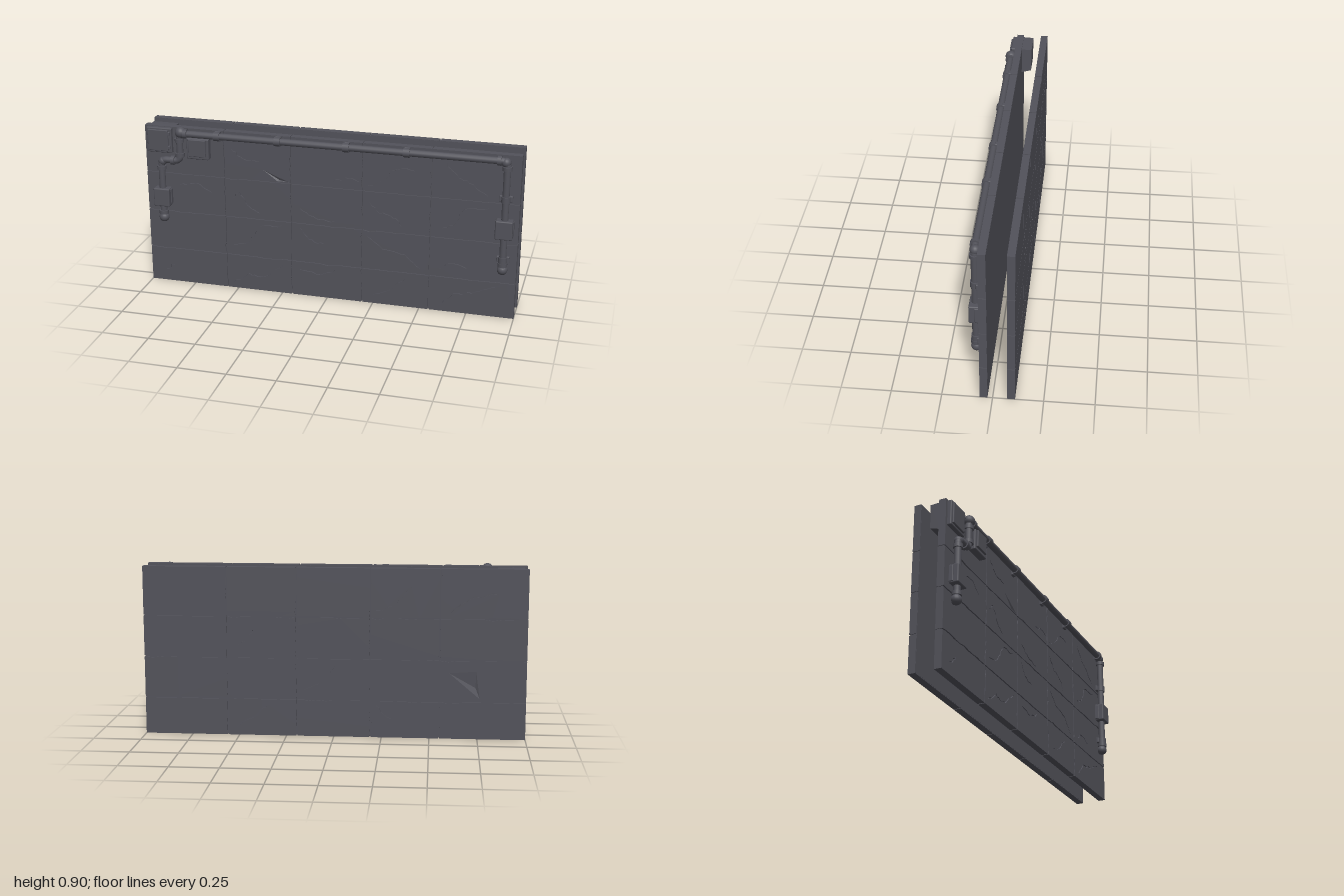
import * as THREE from 'three';
import { RoundedBoxGeometry } from 'three/addons/geometries/RoundedBoxGeometry.js';

const concrete = new THREE.MeshStandardMaterial({ color: 0x52525a });
concrete.name = 'dark grey concrete and metal';

// small seeded generator for chipped edges and cracks
function seeded(seed) {
  return () => {
    seed = (seed * 16807) % 2147483647;
    return seed / 2147483647;
  };
}

function add(parent, name, geometry, x = 0, y = 0, z = 0) {
  const mesh = new THREE.Mesh(geometry, concrete);
  mesh.name = name;
  mesh.position.set(x, y, z);
  parent.add(mesh);
  return mesh;
}

const H = 0.893, SKIN = 0.007;
const COLS = [-1, -0.56, -0.195, 0.19, 0.55, 1];
const ROWS = [0, 0.197, 0.417, 0.635, H];

// straight on the outer rim, slightly chipped along the joints
function tileOutline(x0, x1, y0, y1, rnd) {
  const corners = [[x0, y0], [x1, y0], [x1, y1], [x0, y1]];
  const rim = [y0 === 0, x1 === 1, y1 === H, x0 === -1];
  const inward = [[0, 1], [-1, 0], [0, -1], [1, 0]];
  const points = [];
  corners.forEach((a, i) => {
    const b = corners[(i + 1) % 4];
    const prev = (i + 3) % 4;
    const gap = (k) => (rim[k] ? 0 : 0.003);
    points.push(new THREE.Vector2(
      a[0] + inward[i][0] * gap(i) + inward[prev][0] * gap(prev),
      a[1] + inward[i][1] * gap(i) + inward[prev][1] * gap(prev)));
    if (rim[i]) return;
    for (let k = 1; k < 10; k++) {
      const d = 0.002 + (rnd() > 0.8 ? 0.008 : 0.002) * rnd();
      points.push(new THREE.Vector2(
        a[0] + (b[0] - a[0]) * k / 10 + inward[i][0] * d,
        a[1] + (b[1] - a[1]) * k / 10 + inward[i][1] * d));
    }
  });
  return points;
}

// a thin jagged sliver following a few points
function crackHole(line, rnd) {
  const upper = [], lower = [];
  const steps = (line.length - 1) * 5;
  for (let i = 0; i <= steps; i++) {
    const s = Math.min(Math.floor(i / 5), line.length - 2), t = i / 5 - s;
    const [ax, ay] = line[s], [bx, by] = line[s + 1];
    const len = Math.hypot(bx - ax, by - ay);
    const nx = -(by - ay) / len, ny = (bx - ax) / len;
    const x = ax + (bx - ax) * t, y = ay + (by - ay) * t;
    const j = (rnd() - 0.5) * 0.012;
    const w = i === 0 || i === steps ? 0.0006 : 0.0015 + rnd() * 0.002;
    upper.push(new THREE.Vector2(x + nx * (j + w), y + ny * (j + w)));
    lower.push(new THREE.Vector2(x + nx * (j - w), y + ny * (j - w)));
  }
  return new THREE.Path([...upper, ...lower.reverse()]);
}

// slab facing +z, from z = 0 to z = depth
function makeSlab(name, depth, cracks, dent, seed) {
  const slab = new THREE.Group();
  slab.name = name;
  const rnd = seeded(seed);
  const coreDepth = depth - SKIN + 0.0005;
  add(slab, 'slabCore', new THREE.BoxGeometry(1.992, H - 0.008, coreDepth), 0, H / 2, coreDepth / 2 - 0.0005);
  for (let c = 0; c < 5; c++) for (let r = 0; r < 4; r++) {
    const [x0, x1, y0, y1] = [COLS[c], COLS[c + 1], ROWS[r], ROWS[r + 1]];
    const inside = ([x, y]) => x > x0 && x < x1 && y > y0 && y < y1;
    const shape = new THREE.Shape(tileOutline(x0, x1, y0, y1, rnd));
    cracks.filter((l) => inside(l[0])).forEach((l) => shape.holes.push(crackHole(l, rnd)));
    if (inside(dent[0])) shape.holes.push(new THREE.Path(dent.map((p) => new THREE.Vector2(...p))));
    add(slab, 'wallTile', new THREE.ExtrudeGeometry(shape, { depth, bevelEnabled: false }));
  }
  // broken-out hollow: three sloping faces meeting at a low point
  const low = [dent[0][0] * 0.6 + dent[1][0] * 0.3 + dent[2][0] * 0.1,
    dent[0][1] * 0.6 + dent[1][1] * 0.3 + dent[2][1] * 0.1, depth - SKIN + 0.0005];
  const verts = [];
  for (let i = 0; i < 3; i++) verts.push(...dent[i], depth, ...dent[(i + 1) % 3], depth, ...low);
  const hollow = new THREE.BufferGeometry();
  hollow.setAttribute('position', new THREE.Float32BufferAttribute(verts, 3));
  hollow.computeVertexNormals();
  add(slab, 'brokenHollow', hollow);
  return slab;
}

// tube along straight runs with rounded bends
function pipe(parent, name, points, radius, bend) {
  const p = points.map((a) => new THREE.Vector3(...a));
  const path = new THREE.CurvePath();
  let from = p[0];
  for (let i = 1; i < p.length - 1; i++) {
    const a = p[i].clone().add(p[i - 1].clone().sub(p[i]).setLength(bend));
    const b = p[i].clone().add(p[i + 1].clone().sub(p[i]).setLength(bend));
    path.add(new THREE.LineCurve3(from, a));
    path.add(new THREE.QuadraticBezierCurve3(a, p[i], b));
    from = b;
  }
  path.add(new THREE.LineCurve3(from, p[p.length - 1]));
  add(parent, name, new THREE.TubeGeometry(path, 260, radius, 14));
}

const PZ = 0.083;
function collar(parent, x, y, axis, radius = 0.025, length = 0.02) {
  const ring = add(parent, 'pipeCollar', new THREE.CylinderGeometry(radius, radius, length, 18), x, y, PZ);
  if (axis === 'x') ring.rotation.z = Math.PI / 2;
  if (axis === 'z') ring.rotation.x = Math.PI / 2;
}

function box(parent, name, x0, x1, y0, y1, z0, z1, r = 0.006) {
  add(parent, name, new RoundedBoxGeometry(x1 - x0, y1 - y0, z1 - z0, 2, r),
    (x0 + x1) / 2, (y0 + y1) / 2, (z0 + z1) / 2);
}

export function createModel() {
  const model = new THREE.Group();
  model.name = 'concreteWallWithPipes';

  // the two slabs
  const frontCracks = [
    [[0.03, 0.67], [0.1, 0.7], [0.17, 0.68]], [[0.22, 0.66], [0.33, 0.73], [0.36, 0.77], [0.46, 0.77]],
    [[0.62, 0.82], [0.68, 0.76], [0.74, 0.73], [0.84, 0.67]], [[-0.52, 0.8], [-0.46, 0.75], [-0.36, 0.74]],
    [[-0.53, 0.52], [-0.48, 0.56], [-0.44, 0.49], [-0.37, 0.45]], [[0.22, 0.58], [0.28, 0.52], [0.37, 0.5], [0.4, 0.45]],
    [[0.6, 0.46], [0.68, 0.5], [0.72, 0.59], [0.85, 0.6]], [[-0.15, 0.5], [-0.06, 0.45], [0.04, 0.44]],
    [[-0.52, 0.25], [-0.42, 0.29], [-0.37, 0.38], [-0.25, 0.39]], [[0.22, 0.38], [0.3, 0.32], [0.42, 0.3], [0.5, 0.23]],
    [[0.6, 0.24], [0.66, 0.28], [0.76, 0.26]], [[-0.15, 0.39], [-0.1, 0.33], [-0.02, 0.31]],
    [[-0.53, 0.03], [-0.44, 0.09], [-0.36, 0.08], [-0.24, 0.16]], [[-0.15, 0.15], [-0.04, 0.13], [0.05, 0.17]],
    [[0.25, 0.05], [0.34, 0.09], [0.42, 0.16]], [[0.6, 0.03], [0.68, 0.1], [0.8, 0.13], [0.9, 0.17]],
    [[-0.92, 0.06], [-0.86, 0.11]], [[-0.82, 0.57], [-0.72, 0.59], [-0.64, 0.54]]];
  const backCracks = [
    [[-0.53, 0.47], [-0.45, 0.52], [-0.4, 0.6]], [[-0.16, 0.25], [-0.06, 0.3], [0.02, 0.39]],
    [[0.22, 0.67], [0.32, 0.71], [0.4, 0.8]], [[-0.52, 0.04], [-0.42, 0.1], [-0.35, 0.17]],
    [[0.22, 0.17], [0.3, 0.1]], [[0.6, 0.67], [0.7, 0.74], [0.85, 0.77]]];
  const front = makeSlab('frontSlab', 0.038, frontCracks, [[-0.27, 0.642], [-0.21, 0.642], [-0.35, 0.7]], 11);
  front.position.z = 0.025;
  const back = makeSlab('backSlab', 0.038, backCracks, [[0.76, 0.215], [0.74, 0.36], [0.6, 0.35]], 29);
  back.rotation.y = Math.PI;
  back.position.z = -0.072;
  model.add(front, back);

  // one long pipe: wall, left drop, top run, right drop, wall
  const pipes = new THREE.Group();
  pipes.name = 'pipework';
  model.add(pipes);
  pipe(pipes, 'mainPipe', [
    [-0.907, 0.38, 0.05], [-0.907, 0.38, PZ], [-0.907, 0.715, PZ], [-0.8, 0.715, PZ],
    [-0.8, 0.868, PZ], [0.93, 0.868, PZ], [0.93, 0.275, PZ], [0.93, 0.275, 0.05]], 0.018, 0.03);
  [-0.59, -0.26, 0.105, 0.42].forEach((x) => {
    collar(pipes, x, 0.868, 'x', 0.024, 0.032);
    box(pipes, 'pipeClamp', x - 0.016, x + 0.016, 0.838, 0.892, 0.06, 0.076, 0.004);
  });
  [[-0.765, 0.868, 'x'], [0.89, 0.868, 'x'], [-0.8, 0.83, 'y'], [-0.8, 0.75, 'y'], [-0.84, 0.715, 'x'],
    [-0.907, 0.67, 'y'], [-0.907, 0.415, 'y'], [0.93, 0.83, 'y'], [0.93, 0.31, 'y']]
    .forEach(([x, y, axis]) => collar(pipes, x, y, axis));
  [0.665, 0.335].forEach((y) => {
    collar(pipes, 0.93, y, 'y', 0.023, 0.032);
    box(pipes, 'pipeClamp', 0.896, 0.964, y - 0.016, y + 0.016, 0.06, 0.076, 0.004);
  });
  // bulging elbows
  [[-0.793, 0.873, 0.03], [0.922, 0.86, 0.025], [0.93, 0.28, 0.027], [-0.907, 0.385, 0.027], [-0.9, 0.705, 0.023]]
    .forEach(([x, y, r]) => add(pipes, 'pipeElbow', new THREE.SphereGeometry(r, 18, 12), x, y, PZ - 0.002));

  // junction boxes on the two drops
  [-0.907, 0.93].forEach((x) => {
    box(model, 'junctionBox', x - 0.044, x + 0.044, 0.455, 0.555, 0.06, 0.112);
    box(model, 'junctionBoxBase', x - 0.048, x + 0.048, 0.462, 0.548, 0.06, 0.085, 0.004);
  });

  // corner cabinet with raised door and bolts
  box(model, 'cabinet', -0.985, -0.845, 0.752, 0.89, 0.055, 0.085);
  box(model, 'cabinetDoor', -0.975, -0.862, 0.764, 0.88, 0.08, 0.094, 0.004);
  [0.785, 0.86].forEach((y) => {
    box(model, 'cabinetHinge', -0.864, -0.852, y - 0.01, y + 0.01, 0.08, 0.093, 0.003);
  });

  // cabinet rear housing between the slabs, with a sloping underside
  const profile = new THREE.Shape();
  [[-0.03, 0.738], [0.028, 0.755], [0.03, 0.885], [-0.03, 0.888]]
    .forEach(([a, y], i) => (i ? profile.lineTo(a, y) : profile.moveTo(a, y)));
  const housing = new THREE.ExtrudeGeometry(profile, { depth: 0.14, bevelEnabled: false });
  housing.rotateY(Math.PI / 2);
  add(model, 'rearHousing', housing, -0.985);

  // small box beneath the top run
  box(model, 'smallBox', -0.757, -0.635, 0.735, 0.85, 0.055, 0.098);
  box(model, 'smallBoxLid', -0.745, -0.65, 0.752, 0.846, 0.09, 0.108, 0.004);

  return model;
}
